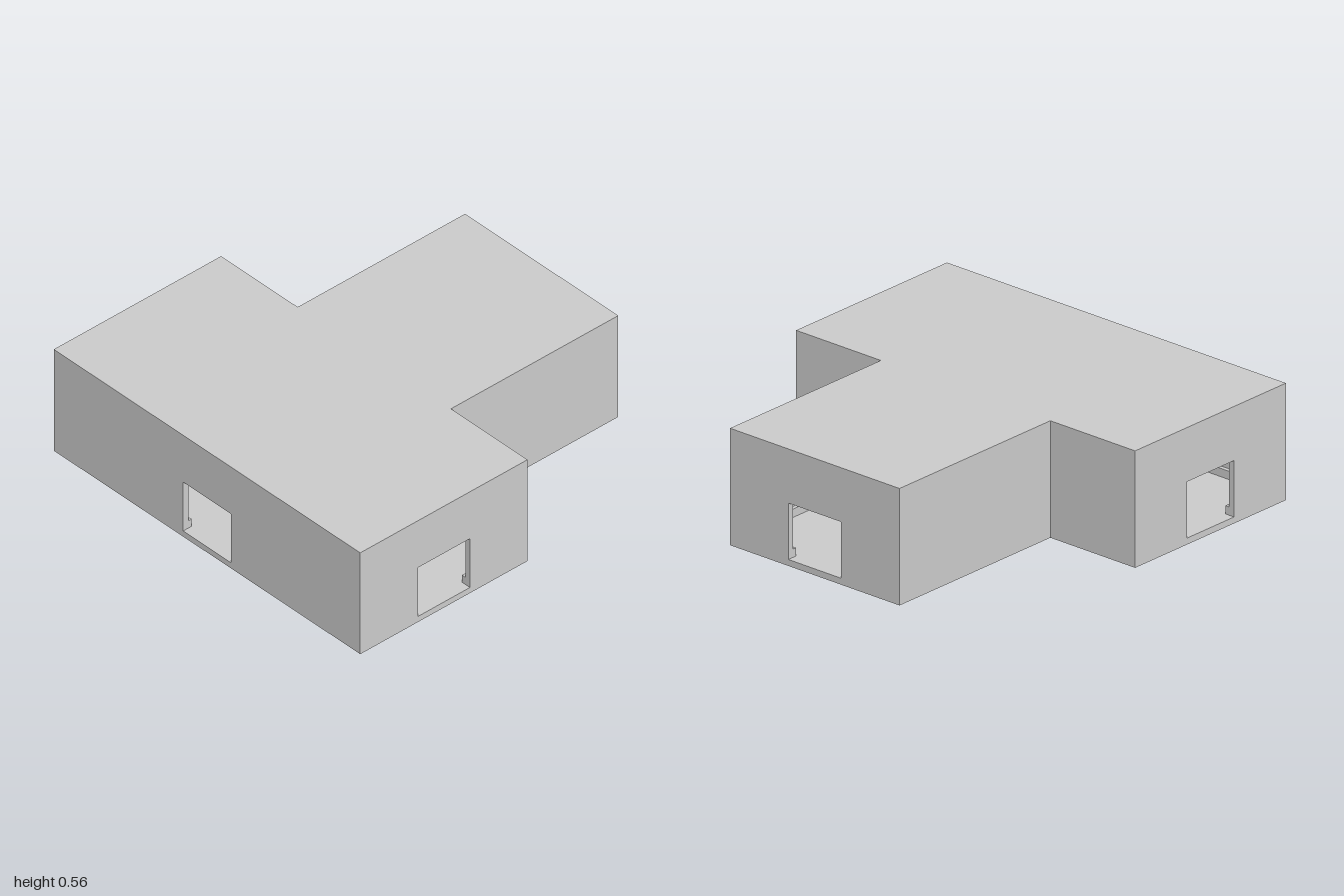
import * as THREE from 'three';

const H = 0.5625, T = 0.031;                    // overall height, wall thickness
const DOOR_HALF = 0.156, DOOR_TOP = 0.302;
const TRIM_H = 0.04, TRIM_D = 0.02;             // skirting and cornice strips

// T-shaped outline as [x, z]; the inside lies on local +z of every edge
const OUTLINE = [[0, 1], [-1, 1], [-1, -1], [0, -1], [0, -0.5], [1, -0.5], [1, 0.5], [0, 0.5]];
const DOOR_EDGES = [0, 1, 2, 5];

const material = new THREE.MeshStandardMaterial({ color: 0xcccccc, flatShading: true });

// direction and inward normal of each outline edge
function edgesOf(points) {
  return points.map((a, i) => {
    const b = points[(i + 1) % points.length];
    const length = Math.hypot(b[0] - a[0], b[1] - a[1]);
    const d = [(b[0] - a[0]) / length, (b[1] - a[1]) / length];
    return { a, length, d, n: [-d[1], d[0]] };
  });
}

function inset(points, t) {
  const edges = edgesOf(points);
  return points.map((p, i) => {
    const prev = edges[(i + points.length - 1) % points.length].n, next = edges[i].n;
    return [p[0] + (prev[0] + next[0]) * t, p[1] + (prev[1] + next[1]) * t];
  });
}

const polygon = (pts) => new THREE.Shape(pts.map(([x, y]) => new THREE.Vector2(x, y)));

// panels that follow the outline, cut out at the doorways
function perimeter(name, points, y0, y1, depth) {
  const group = new THREE.Group();
  group.name = name;
  const edges = edgesOf(points);
  edges.forEach((e, i) => {
    const prev = edges[(i + edges.length - 1) % edges.length];
    // trim at outer corners, extend at inner corners, so panels butt cleanly
    const s = e.d[0] * prev.n[0] + e.d[1] * prev.n[1] > 0 ? depth : -depth;
    // doorways stay centred on the outer edge
    const outer = edgesOf(OUTLINE)[i];
    const mid = (outer.a[0] - e.a[0]) * e.d[0] + (outer.a[1] - e.a[1]) * e.d[1] + outer.length / 2;
    const l = mid - DOOR_HALF, r = mid + DOOR_HALF, end = e.length;
    const rect = (x0, x1) => polygon([[x0, y0], [x1, y0], [x1, y1], [x0, y1]]);
    let shapes = [rect(s, end)];
    if (DOOR_EDGES.includes(i) && y0 < DOOR_TOP) {
      shapes = y1 > DOOR_TOP
        ? [polygon([[s, y0], [l, y0], [l, DOOR_TOP], [r, DOOR_TOP], [r, y0], [end, y0], [end, y1], [s, y1]])]
        : [rect(s, l), rect(r, end)];
    }
    const panel = new THREE.Mesh(new THREE.ExtrudeGeometry(shapes, { depth, bevelEnabled: false }), material);
    panel.name = name + 'Panel';
    panel.position.set(e.a[0], 0, e.a[1]);
    panel.rotation.y = Math.atan2(-e.d[1], e.d[0]);
    group.add(panel);
  });
  return group;
}

function slab(name, y) {
  const geometry = new THREE.ExtrudeGeometry(polygon(OUTLINE.map(([x, z]) => [x, -z])), { depth: T, bevelEnabled: false });
  geometry.rotateX(-Math.PI / 2);
  const mesh = new THREE.Mesh(geometry, material);
  mesh.name = name;
  mesh.position.y = y;
  return mesh;
}

export function createModel() {
  const model = new THREE.Group();
  model.name = 'corridorJunction';
  const inner = inset(OUTLINE, T);
  model.add(
    slab('floor', 0),
    slab('roof', H - T),
    perimeter('wall', OUTLINE, T, H - T, T),
    perimeter('skirting', inner, T, T + TRIM_H, TRIM_D),
    perimeter('cornice', inner, H - T - TRIM_H, H - T, TRIM_D),
  );
  return model;
}
